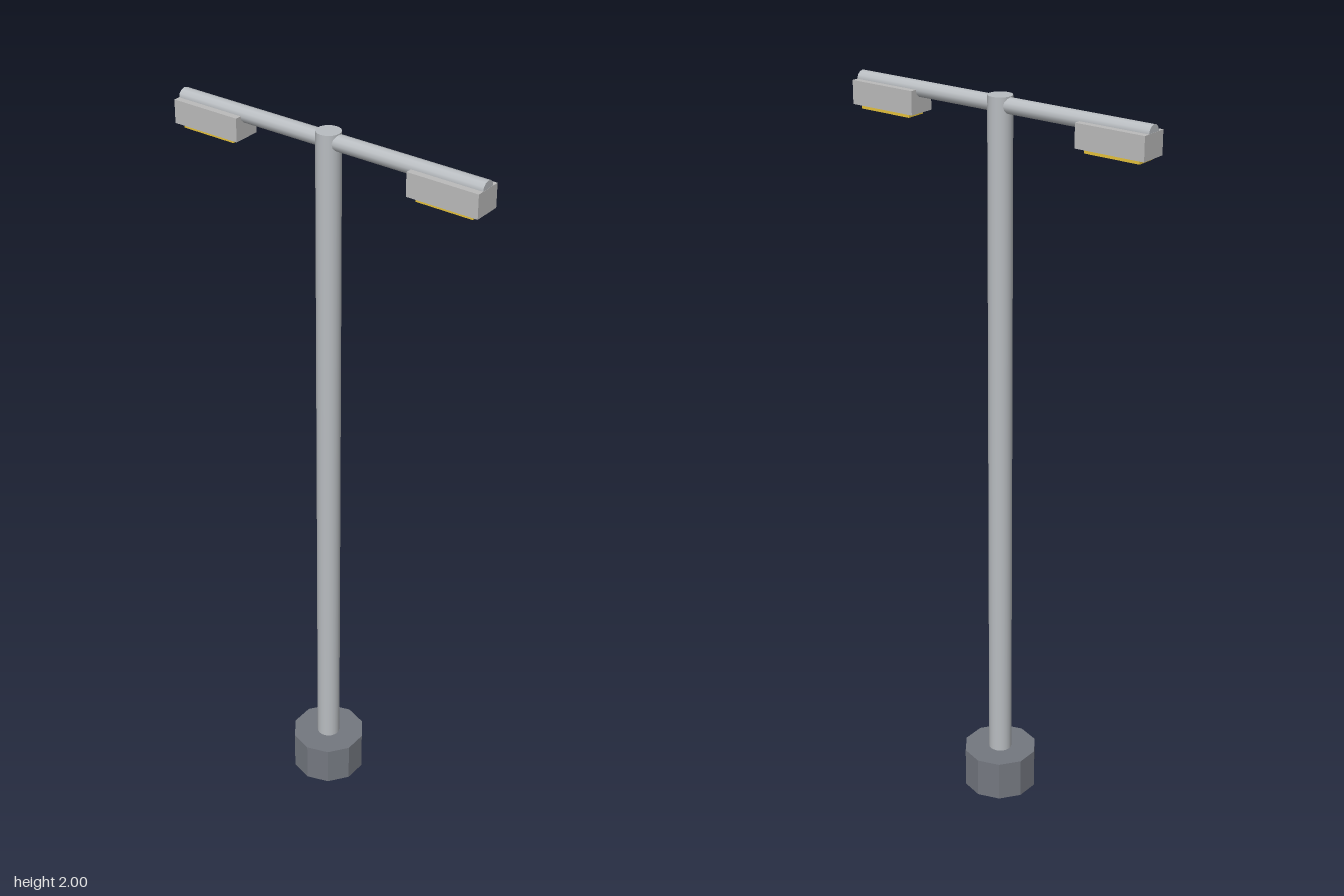
import * as THREE from 'three';

const mat = (color, flatShading = false) => new THREE.MeshStandardMaterial({ color, flatShading });

function addMesh(parent, name, geometry, material, x, y, z) {
  const mesh = new THREE.Mesh(geometry, material);
  mesh.name = name;
  mesh.position.set(x, y, z);
  parent.add(mesh);
  return mesh;
}

export function createModel() {
  const model = new THREE.Group();
  model.name = 'streetLight';

  const steel = mat(0xb9bdc1);
  const housing = mat(0xbbbbbb);
  const footing = mat(0x747880, true);
  const glow = mat(0xe6c23c);

  // Ten-sided footing
  const baseH = 0.115;
  addMesh(model, 'base', new THREE.CylinderGeometry(0.103, 0.103, baseH, 10), footing, 0, baseH / 2, 0);

  // Upright pole
  const poleH = 2 - baseH;
  addMesh(model, 'pole', new THREE.CylinderGeometry(0.032, 0.032, poleH, 20), steel, 0, baseH + poleH / 2, 0);

  // Cross arm running through the pole top
  const armY = 1.977;
  const arm = addMesh(model, 'crossArm', new THREE.CylinderGeometry(0.021, 0.021, 0.896, 12), steel, 0, armY, 0);
  arm.rotation.z = Math.PI / 2;

  // A lamp under each end of the arm
  for (const side of [1, -1]) {
    const lamp = new THREE.Group();
    lamp.name = side > 0 ? 'leftLamp' : 'rightLamp';
    lamp.position.x = side * 0.35;
    addMesh(lamp, 'lampHousing', new THREE.BoxGeometry(0.197, 0.062, 0.077), housing, 0, 1.947, 0);
    addMesh(lamp, 'lampPanel', new THREE.BoxGeometry(0.158, 0.016, 0.055), glow, 0, 1.913, 0);
    model.add(lamp);
  }

  return model;
}
